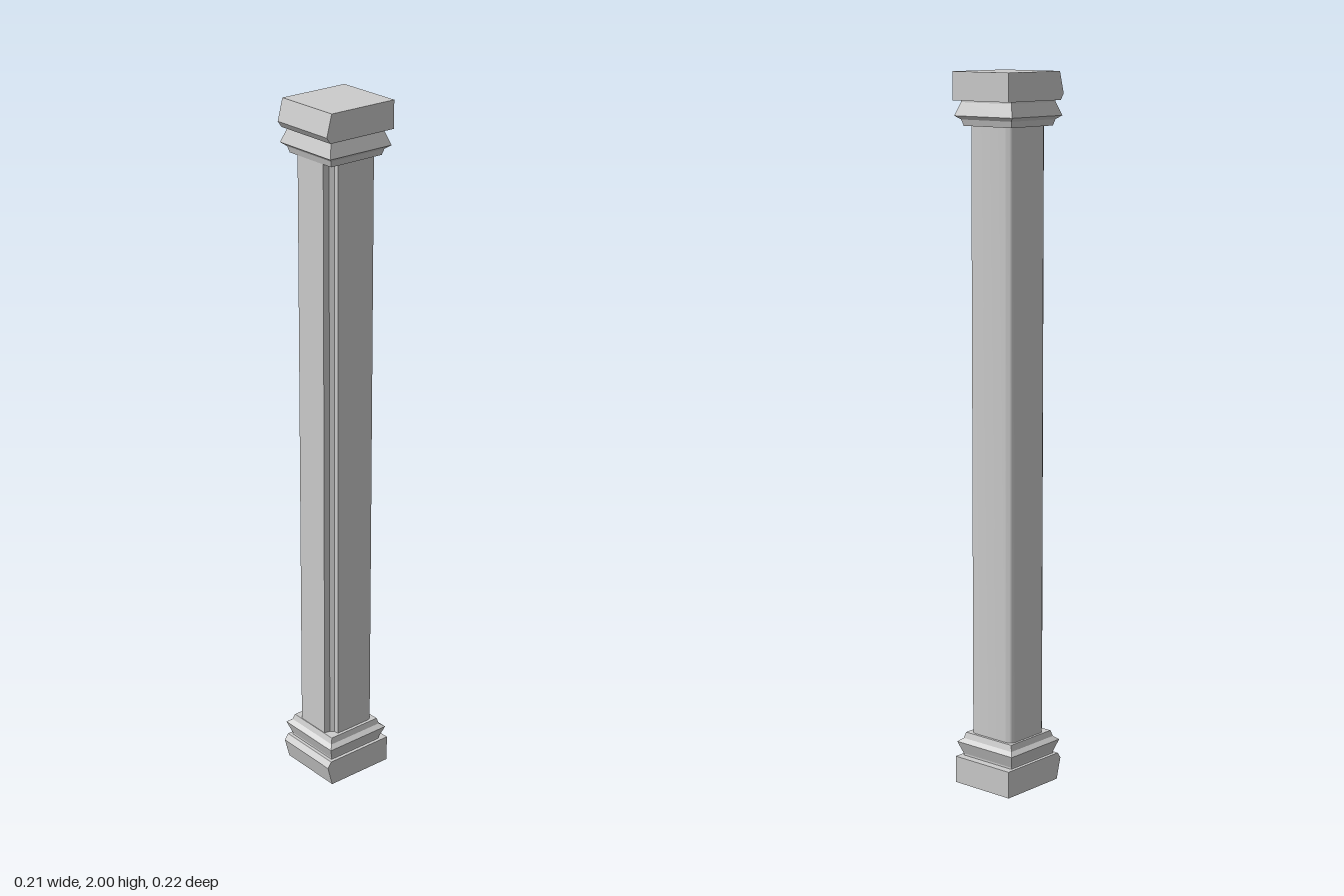
import * as THREE from 'three';
import { toCreasedNormals } from 'three/addons/utils/BufferGeometryUtils.js';

const grey = new THREE.MeshStandardMaterial({ color: 0xcccccc });
const flatGrey = new THREE.MeshStandardMaterial({ color: 0xcccccc, flatShading: true });

function addMesh(parent, name, geometry, material) {
  const mesh = new THREE.Mesh(geometry, material);
  mesh.name = name;
  parent.add(mesh);
}

// Square plate with a bevelled front, plus a flared square moulding above it
function createEnd(name) {
  const end = new THREE.Group();
  end.name = name;

  // side profile (z, y), extruded across x
  const side = new THREE.Shape([
    [-0.113, 0], [0.096, 0], [0.112, 0.06], [0.1, 0.077], [-0.113, 0.077],
  ].map(([z, y]) => new THREE.Vector2(z, y)));
  const plate = new THREE.ExtrudeGeometry(side, { depth: 0.2, bevelEnabled: false });
  plate.translate(0, 0, -0.1).rotateY(-Math.PI / 2);
  addMesh(end, 'plate', plate, flatGrey);

  // half width and height of each step of the moulding
  const steps = [[0.09, 0.075], [0.09, 0.082], [0.103, 0.118], [0.09, 0.128], [0.085, 0.145], [0, 0.145]];
  const profile = steps.map(([r, y]) => new THREE.Vector2(r * Math.SQRT2, y));
  addMesh(end, 'moulding', new THREE.LatheGeometry(profile, 4, Math.PI / 4), flatGrey);
  return end;
}

// Square shaft: softly rounded at the back, stepped front corners
function createShaftGeometry() {
  const s = new THREE.Shape();
  s.moveTo(-0.055, 0.083);
  s.lineTo(-0.058, 0.066);
  s.lineTo(-0.068, 0.056);
  s.lineTo(-0.078, 0.055);
  s.lineTo(-0.078, -0.055);
  s.quadraticCurveTo(-0.077, -0.076, -0.055, -0.077);
  s.lineTo(0.055, -0.077);
  s.quadraticCurveTo(0.075, -0.076, 0.076, -0.055);
  s.lineTo(0.076, 0.055);
  s.lineTo(0.063, 0.056);
  s.lineTo(0.053, 0.066);
  s.lineTo(0.05, 0.083);
  s.closePath();
  const geometry = new THREE.ExtrudeGeometry(s, { depth: 1.73, bevelEnabled: false, curveSegments: 8 });
  geometry.rotateX(Math.PI / 2).translate(0, 1.865, 0);
  return toCreasedNormals(geometry, 0.6);
}

export function createModel() {
  const column = new THREE.Group();
  column.name = 'column';

  column.add(createEnd('base'));
  addMesh(column, 'shaft', createShaftGeometry(), grey);

  // the capital is the base turned upside down
  const capital = createEnd('capital');
  capital.rotation.z = Math.PI;
  capital.position.y = 2;
  column.add(capital);
  return column;
}
